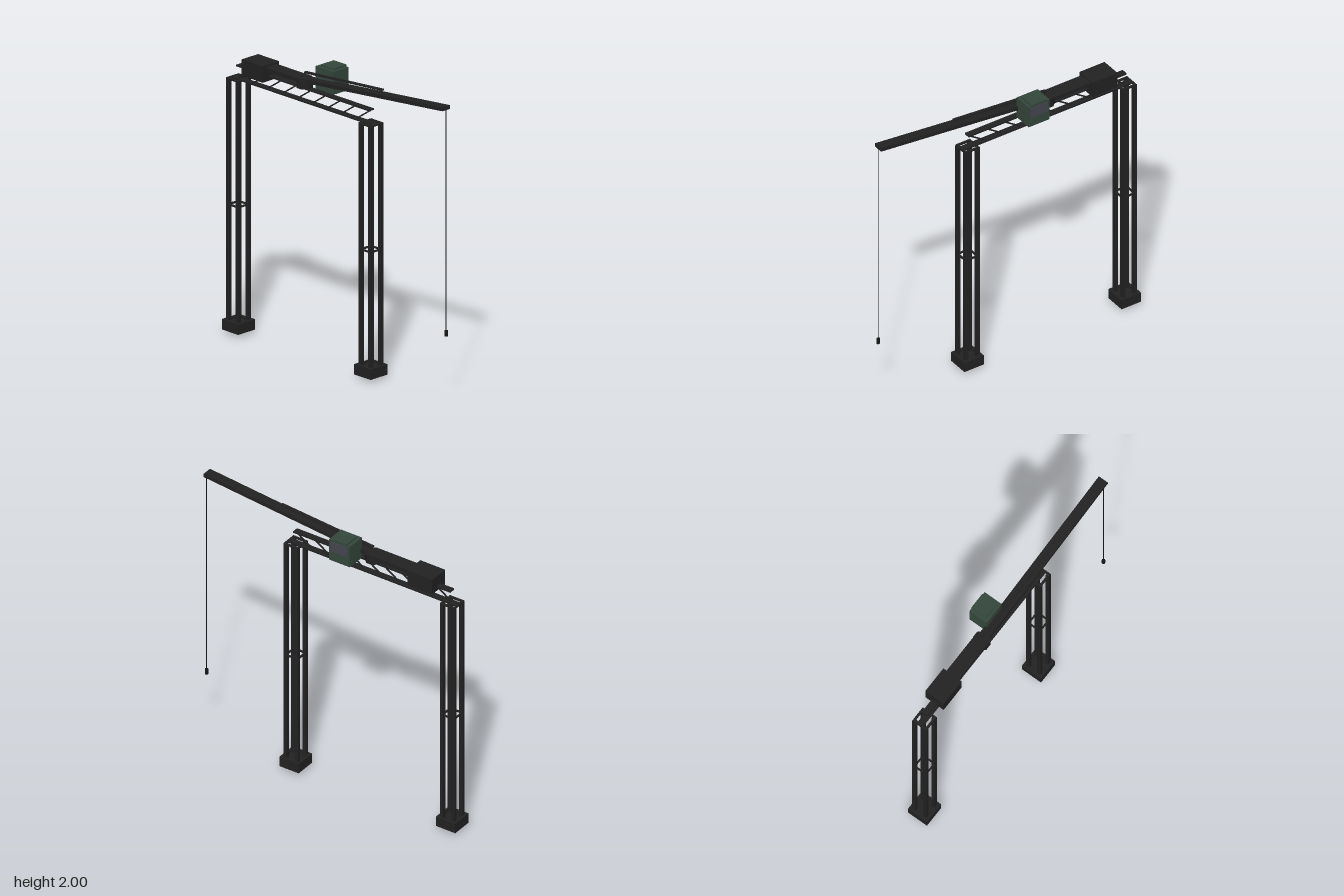
import * as THREE from 'three';

const Z = 0.04; // depth of the crane's centre plane
const dark = new THREE.MeshStandardMaterial({ color: 0x222222 });
dark.name = 'darkSteel';
const black = new THREE.MeshStandardMaterial({ color: 0x151515, side: THREE.DoubleSide });
black.name = 'blackCable';
const green = new THREE.MeshStandardMaterial({ color: 0x35483c });
green.name = 'cabGreen';
const glass = new THREE.MeshStandardMaterial({ color: 0x464650 });
glass.name = 'windowGlass';

function add(parent, name, geometry, material, x, y, z) {
  const mesh = new THREE.Mesh(geometry, material);
  mesh.name = name;
  mesh.position.set(x, y, z);
  parent.add(mesh);
  return mesh;
}

// Box given by its lower and upper limits
function block(parent, name, material, x0, x1, y0, y1, z0, z1) {
  return add(parent, name, new THREE.BoxGeometry(x1 - x0, y1 - y0, z1 - z0), material,
    (x0 + x1) / 2, (y0 + y1) / 2, (z0 + z1) / 2);
}

// Bar between two points in the centre plane
function bar(parent, name, x0, y0, x1, y1, thick, wide, z = Z) {
  const length = Math.hypot(x1 - x0, y1 - y0);
  const mesh = add(parent, name, new THREE.BoxGeometry(length, thick, wide), dark,
    (x0 + x1) / 2, (y0 + y1) / 2, z);
  mesh.rotation.z = Math.atan2(y1 - y0, x1 - x0);
  return mesh;
}

// Square frame lying flat, made of four bars
function squareFrame(parent, name, half, thick, y0, y1) {
  const frame = new THREE.Group();
  frame.name = name;
  for (const s of [-1, 1]) {
    const a = s * half, b = s * (half - thick);
    const lo = Math.min(a, b), hi = Math.max(a, b);
    block(frame, 'frameSide', dark, -half, half, y0, y1, lo, hi);
    block(frame, 'frameEnd', dark, lo, hi, y0, y1, -half + thick, half - thick);
  }
  parent.add(frame);
}

function createTower(x, name) {
  const tower = new THREE.Group();
  tower.name = name;
  tower.position.set(x, 0, Z);
  // Hollow foot with an inner floor
  squareFrame(tower, 'footRim', 0.075, 0.02, 0.022, 0.092);
  block(tower, 'footFloor', dark, -0.055, 0.055, 0.04, 0.08, -0.055, 0.055);
  add(tower, 'footDisc', new THREE.CircleGeometry(0.025, 10), black, 0, 0.025, 0).rotation.y = Math.PI / 2;
  // Four posts
  for (const sx of [-1, 1]) for (const sz of [-1, 1])
    add(tower, 'post', new THREE.BoxGeometry(0.025, 1.69, 0.025), dark, sx * 0.044, 0.865, sz * 0.044);
  squareFrame(tower, 'middleBrace', 0.05, 0.01, 0.86, 0.871);
  squareFrame(tower, 'topBrace', 0.056, 0.015, 1.709, 1.72);
  return tower;
}

export function createModel() {
  const crane = new THREE.Group();
  crane.name = 'gantryCrane';
  crane.add(createTower(-0.92, 'rightTower'), createTower(0.29, 'leftTower'));

  // Truss bridge
  const truss = new THREE.Group();
  truss.name = 'trussBridge';
  bar(truss, 'bottomChord', -0.965, 1.715, 0.335, 1.715, 0.01, 0.045);
  bar(truss, 'topChord', -0.92, 1.805, 0.295, 1.805, 0.01, 0.045);
  for (let i = 0; i < 9; i++) {
    const x = -0.92 + i * 0.135;
    bar(truss, 'diagonal', x, 1.715, x + 0.135, 1.805, 0.008, 0.008);
  }
  crane.add(truss);

  // Turntable, counter jib and counterweight
  add(crane, 'turntable', new THREE.CylinderGeometry(0.058, 0.058, 0.06, 8).rotateY(Math.PI / 8).toNonIndexed(),
    dark, -0.314, 1.838, Z);
  block(crane, 'counterJib', dark, -0.64, -0.3, 1.846, 1.873, Z - 0.05, Z + 0.05);
  block(crane, 'counterweight', dark, -0.815, -0.623, 1.775, 1.885, Z - 0.073, Z + 0.073);

  // Boom with its upper stay
  bar(crane, 'boom', -0.3, 1.861, 0.978, 1.987, 0.025, 0.07);
  bar(crane, 'stay', -0.31, 1.908, 0.4, 1.966, 0.01, 0.022);

  // Hoist cable and hook block
  add(crane, 'hoistCable', new THREE.CylinderGeometry(0.0028, 0.0028, 1.5, 6), black, 0.978, 1.235, Z);
  add(crane, 'hookBlock', new THREE.CylinderGeometry(0.012, 0.012, 0.038, 8), black, 0.978, 0.472, Z);

  // Operator cab with a rear window
  const cab = new THREE.Group();
  cab.name = 'cab';
  block(cab, 'cabBody', green, -0.235, -0.075, 1.808, 1.963, -0.115, 0.02);
  block(cab, 'cabRoof', green, -0.212, -0.095, 1.963, 1.974, -0.118, 0);
  block(cab, 'cabWindow', glass, -0.22, -0.09, 1.878, 1.953, -0.119, -0.115);
  crane.add(cab);
  return crane;
}
